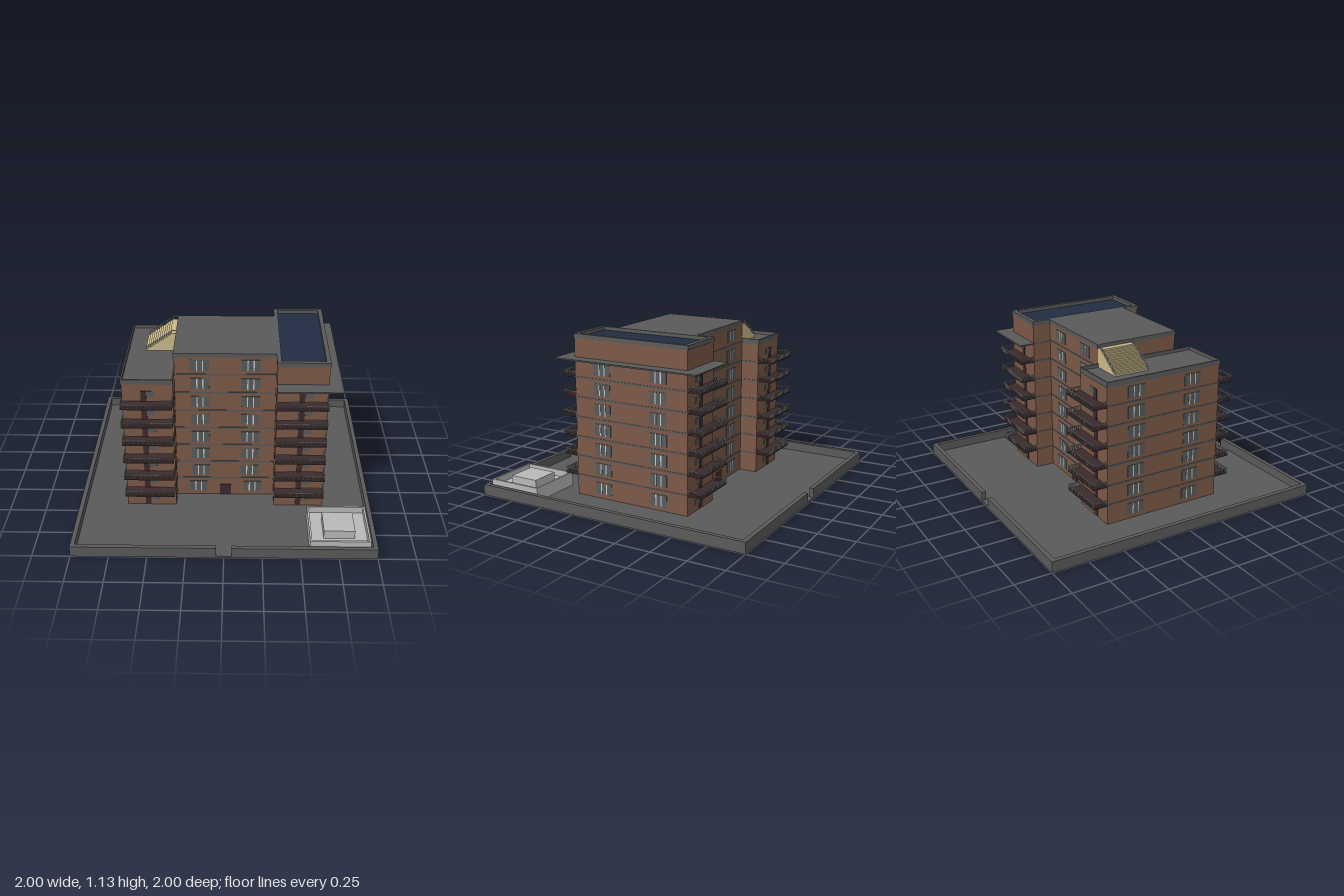
import * as THREE from 'three';
import { mergeGeometries } from 'three/addons/utils/BufferGeometryUtils.js';

const mat = (name, color) => {
  const m = new THREE.MeshStandardMaterial({ color });
  m.name = name;
  return m;
};

// box given by its min and max corners
function span(x0, x1, y0, y1, z0, z1) {
  return new THREE.BoxGeometry(x1 - x0, y1 - y0, z1 - z0)
    .translate((x0 + x1) / 2, (y0 + y1) / 2, (z0 + z1) / 2);
}

// flat rectangular ring with outer and inner limits [x0, x1, z0, z1]
function ring(o, i, y0, y1) {
  return [
    span(o[0], o[1], y0, y1, i[3], o[3]), span(o[0], o[1], y0, y1, o[2], i[2]),
    span(o[0], i[0], y0, y1, i[2], i[3]), span(i[1], o[1], y0, y1, i[2], i[3]),
  ];
}

export function createModel() {
  const model = new THREE.Group();
  model.name = 'apartmentBlock';
  const concrete = mat('concrete', 0x5a5a5a);
  const brick = mat('brick', 0x7b5947);
  const maroon = mat('maroon', 0x3c2a2d);
  const glass = mat('windowGrey', 0x565a5b);
  const metal = mat('railGrey', 0x969694);
  const white = mat('frameWhite', 0xc8c8c8);
  const stone = mat('paleStone', 0xb9b9b9);
  const water = mat('poolBlue', 0x222d42);
  const cream = mat('cream', 0xcabb8a);

  const add = (name, geos, material) => {
    const mesh = new THREE.Mesh(mergeGeometries([].concat(geos)), material);
    mesh.name = name;
    model.add(mesh);
  };

  const GROUND = 0.012, FLOOR = 0.137;
  const level = i => 0.15 + FLOOR * i;
  const wings = [-0.51, 0.51];

  // plot and boundary wall with a gate gap front and back
  add('ground', span(-1, 1, 0, GROUND, -1, 1), concrete);
  const walls = [];
  for (const s of [-1, 1]) {
    walls.push(span(Math.min(s, s * 0.97), Math.max(s, s * 0.97), GROUND, 0.075, -1, 1));
    const z0 = Math.min(s, s * 0.97), z1 = Math.max(s, s * 0.97);
    walls.push(span(-0.97, -0.05, GROUND, 0.075, z0, z1), span(0.05, 0.97, GROUND, 0.075, z0, z1));
  }
  add('boundaryWall', walls, concrete);

  // brick volumes
  add('middleBlock', span(-0.34, 0.34, GROUND, 1.1, -0.3, 0.3), brick);
  add('lowWing', span(-0.68, -0.34, GROUND, 0.97, -0.43, 0.43), brick);
  add('tallWing', span(0.34, 0.68, GROUND, 1.1, -0.43, 0.43), brick);

  // roofs, parapets, canopy and rooftop pool
  add('middleRoof', span(-0.345, 0.337, 1.1, 1.13, -0.304, 0.304), concrete);
  add('lowRoof', span(-0.68, -0.34, 0.97, 0.976, -0.43, 0.43), concrete);
  add('lowParapet', ring([-0.685, -0.34, -0.434, 0.434], [-0.675, -0.348, -0.424, 0.424], 0.965, 1.0), concrete);
  add('poolRim', ring([0.337, 0.684, -0.434, 0.434], [0.365, 0.655, -0.404, 0.404], 1.1, 1.13), concrete);
  add('poolWater', span(0.365, 0.655, 1.1, 1.106, -0.404, 0.404), water);
  add('canopy', span(0.338, 0.766, 0.963, 0.972, -0.536, 0.536), concrete);

  // thin floor bands
  const bands = [];
  for (let i = 0; i < 7; i++) {
    const y = level(i) - 0.005, t = y + 0.012;
    bands.push(span(-0.34, 0.34, y, t, -0.303, 0.303));
    if (i < 6) for (const c of wings) bands.push(span(c - 0.173, c + 0.173, y, t, -0.433, 0.433));
  }
  add('floorBands', bands, concrete);

  // windows: grey panes with two pale mullions, built facing +z then placed
  const panes = [], mullions = [], doors = [];
  const place = (g, x, y, z, turn) => g.rotateY(turn).translate(x, y, z);
  const addWindow = (x, y, z, turn) => {
    panes.push(place(new THREE.BoxGeometry(0.125, 0.08, 0.006), x, y, z, turn));
    for (const s of [-1, 1]) {
      mullions.push(place(new THREE.BoxGeometry(0.008, 0.078, 0.009).translate(s * 0.02, 0, 0), x, y, z, turn));
    }
  };
  for (let i = -1; i < 7; i++) {
    const y = level(i) + 0.07;
    for (const s of [-1, 1]) {
      const x = i < 0 ? 0.19 : 0.17;
      addWindow(s * x, y, 0.301, 0);
      addWindow(s * x, y, -0.301, Math.PI);
      if (i < 6) {
        addWindow(0.681, y, s * 0.215, Math.PI / 2);
        addWindow(-0.681, y, s * 0.215, -Math.PI / 2);
      }
    }
  }

  // balcony doors with a small window beside them, and the entrances
  const slabs = [], rails = [];
  for (const s of [-1, 1]) {
    const zr = (a, b) => (s > 0 ? [a, b] : [-b, -a]);
    doors.push(span(-0.04, 0.04, GROUND, 0.095, ...zr(0.299, 0.304)));
    for (const c of wings) {
      const d = c < 0 ? -0.045 : -0.022;
      for (let i = -1; i < 6; i++) {
        const y = level(i);
        doors.push(span(c + d, c + d + 0.038, y + 0.005, y + 0.08, ...zr(0.429, 0.434)));
        panes.push(span(c + d + 0.04, c + d + 0.09, y + 0.04, y + 0.08, ...zr(0.429, 0.433)));
        if (i < 0) continue;
        // balcony slab
        const x0 = c - 0.173, x1 = c + 0.167;
        slabs.push(span(x0, x1, y - 0.005, y + 0.006, ...zr(0.43, 0.534)));
        // top rail and balusters on three sides
        const r0 = y + 0.032, r1 = y + 0.038;
        rails.push(span(x0, x1, r0, r1, ...zr(0.529, 0.535)));
        rails.push(span(x0, x0 + 0.005, r0, r1, ...zr(0.43, 0.53)));
        rails.push(span(x1 - 0.005, x1, r0, r1, ...zr(0.43, 0.53)));
        const post = (x, z) => rails.push(span(x - 0.002, x + 0.002, y + 0.006, r0, ...zr(z - 0.002, z + 0.002)));
        for (let k = 0; k <= 20; k++) post(x0 + 0.003 + (k / 20) * (x1 - x0 - 0.006), 0.532);
        for (let k = 0; k < 6; k++) for (const x of [x0 + 0.003, x1 - 0.003]) post(x, 0.437 + k * 0.016);
      }
    }
  }
  add('windowPanes', panes, glass);
  add('windowMullions', mullions, white);
  add('doors', doors, maroon);
  add('balconySlabs', slabs, maroon);
  add('balconyRailings', rails, metal);

  // roof staircase from the low wing up to the middle roof
  const STEPS = 12, sx = -0.56, run = 0.19 / STEPS, sy = 0.976, rise = 0.13 / STEPS;
  const profile = new THREE.Shape();
  profile.moveTo(sx, sy);
  for (let k = 0; k < STEPS; k++) {
    profile.lineTo(sx + k * run, sy + (k + 1) * rise);
    profile.lineTo(sx + (k + 1) * run, sy + (k + 1) * rise);
  }
  profile.lineTo(-0.342, sy + STEPS * rise);
  profile.lineTo(-0.342, sy);
  profile.closePath();
  add('roofStairs', new THREE.ExtrudeGeometry(profile, { depth: 0.25, bevelEnabled: false })
    .translate(0, 0, -0.3), cream);

  // stair handrails
  const handrails = [], slope = Math.atan2(0.13, 0.19);
  for (const z of [-0.298, -0.052]) {
    handrails.push(new THREE.BoxGeometry(0.23, 0.005, 0.004).rotateZ(slope).translate(-0.465, 1.065, z));
    handrails.push(span(-0.372, -0.342, 1.126, 1.131, z - 0.002, z + 0.002));
    for (let k = 0; k < STEPS; k++) {
      const x = sx + (k + 0.5) * run, y = sy + (k + 1) * rise;
      handrails.push(span(x - 0.0015, x + 0.0015, y, y + 0.018, z - 0.0015, z + 0.0015));
    }
  }
  add('stairHandrails', handrails, white);

  // square stone basin with a central plinth
  add('basinRim', ring([0.56, 0.955, 0.57, 0.96], [0.573, 0.942, 0.583, 0.947], GROUND, 0.108), stone);
  add('basinFloor', span(0.573, 0.942, GROUND, 0.06, 0.583, 0.947), stone);
  add('basinPlinth', span(0.655, 0.86, 0.06, 0.12, 0.658, 0.865), stone);

  return model;
}
